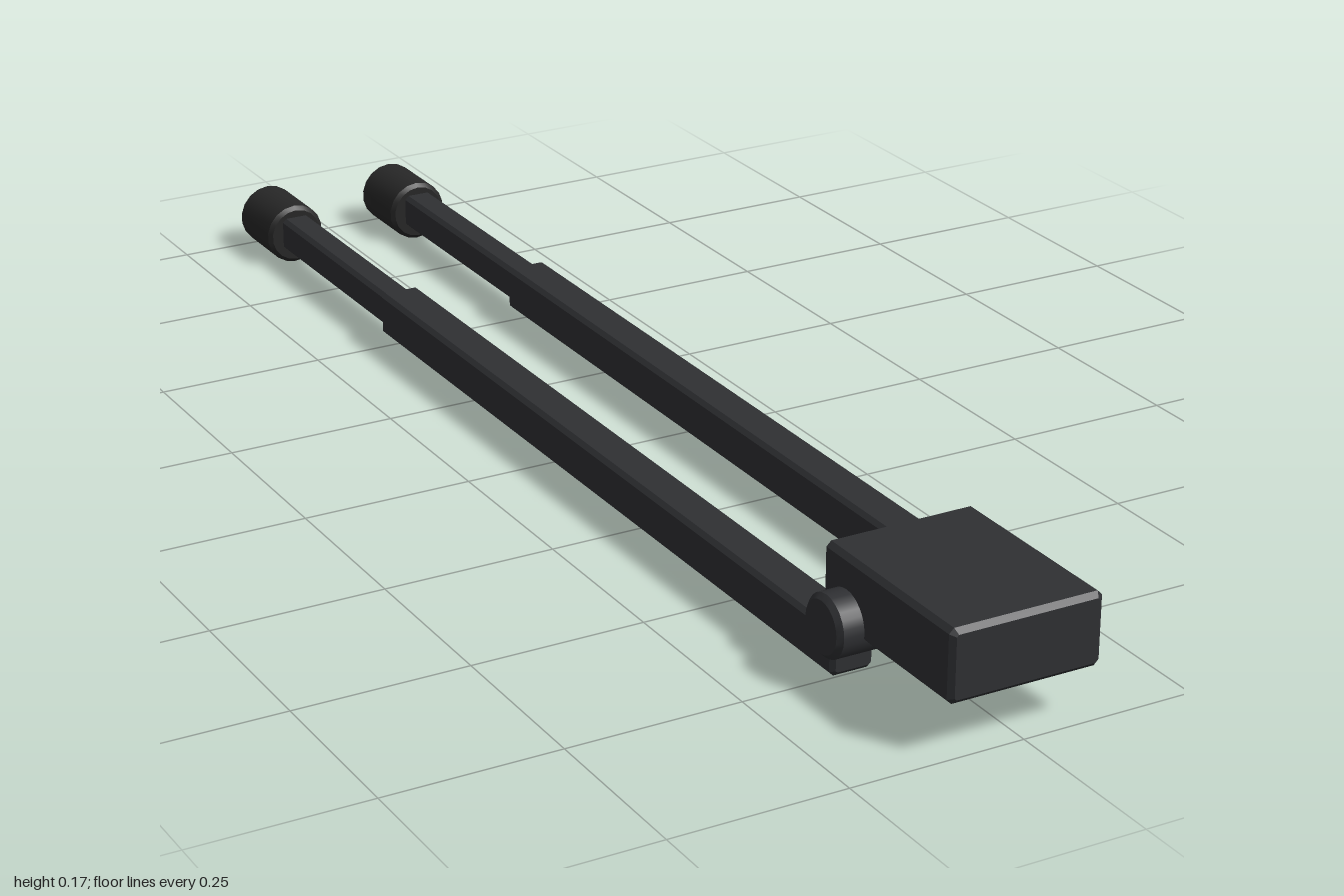
import * as THREE from 'three';
import { toCreasedNormals } from 'three/addons/utils/BufferGeometryUtils.js';

const metal = new THREE.MeshStandardMaterial({ color: 0x2f3033 });
const rubber = new THREE.MeshStandardMaterial({ color: 0x272727 });

// Box with chamfered edges, given by its limits on each axis
function chamferBox(name, [x0, x1], [y0, y1], [z0, z1], c) {
  const w = (x1 - x0) / 2, h = (y1 - y0) / 2, i = c; // octagonal section
  const shape = new THREE.Shape([
    [w - i, -h], [w, -h + i], [w, h - i], [w - i, h],
    [-w + i, h], [-w, h - i], [-w, -h + i], [-w + i, -h],
  ].map(([x, y]) => new THREE.Vector2(x, y)));
  const geo = new THREE.ExtrudeGeometry(shape, {
    depth: z1 - z0 - 2 * c, bevelEnabled: true, bevelSegments: 1,
    bevelThickness: c, bevelSize: c, bevelOffset: -c,
  });
  geo.translate((x0 + x1) / 2, (y0 + y1) / 2, z0 + c);
  const mesh = new THREE.Mesh(geo, metal);
  mesh.name = name;
  return mesh;
}

// Solid cylinder with chamfered rims, along y and centred on the origin
function chamferCylinder(name, radius, length, c, sides, material) {
  const h = length / 2;
  const profile = [[0, -h], [radius - c, -h], [radius, -h + c], [radius, h - c], [radius - c, h], [0, h]]
    .map(([x, y]) => new THREE.Vector2(x, y));
  const geo = toCreasedNormals(new THREE.LatheGeometry(profile, sides), 0.5);
  const mesh = new THREE.Mesh(geo, material);
  mesh.name = name;
  return mesh;
}

export function createModel() {
  const model = new THREE.Group();
  model.name = 'foldedBipod';

  // Mounting block and the hinge running under it
  model.add(chamferBox('mountBlock', [-0.111, 0.111], [0.073, 0.175], [0.71, 1], 0.007));
  const hinge = chamferCylinder('hingePin', 0.0435, 0.295, 0.007, 24, metal);
  hinge.rotation.z = Math.PI / 2;
  hinge.position.set(0, 0.0865, 0.766);
  model.add(hinge);

  // Telescopic legs, folded back
  for (const side of [-1, 1]) {
    const leg = new THREE.Group();
    leg.name = side > 0 ? 'leftLeg' : 'rightLeg';
    leg.position.x = side * 0.108;
    leg.add(chamferBox('outerTube', [-0.031, 0.031], [0.019, 0.085], [-0.51, 0.78], 0.006));
    leg.add(chamferBox('innerTube', [-0.023, 0.023], [0.026, 0.078], [-0.89, -0.505], 0.006));
    const foot = chamferCylinder('foot', 0.047, 0.115, 0.006, 18, rubber);
    foot.rotation.x = Math.PI / 2;
    foot.position.set(0, 0.048, -0.9425);
    leg.add(foot);
    model.add(leg);
  }
  return model;
}
